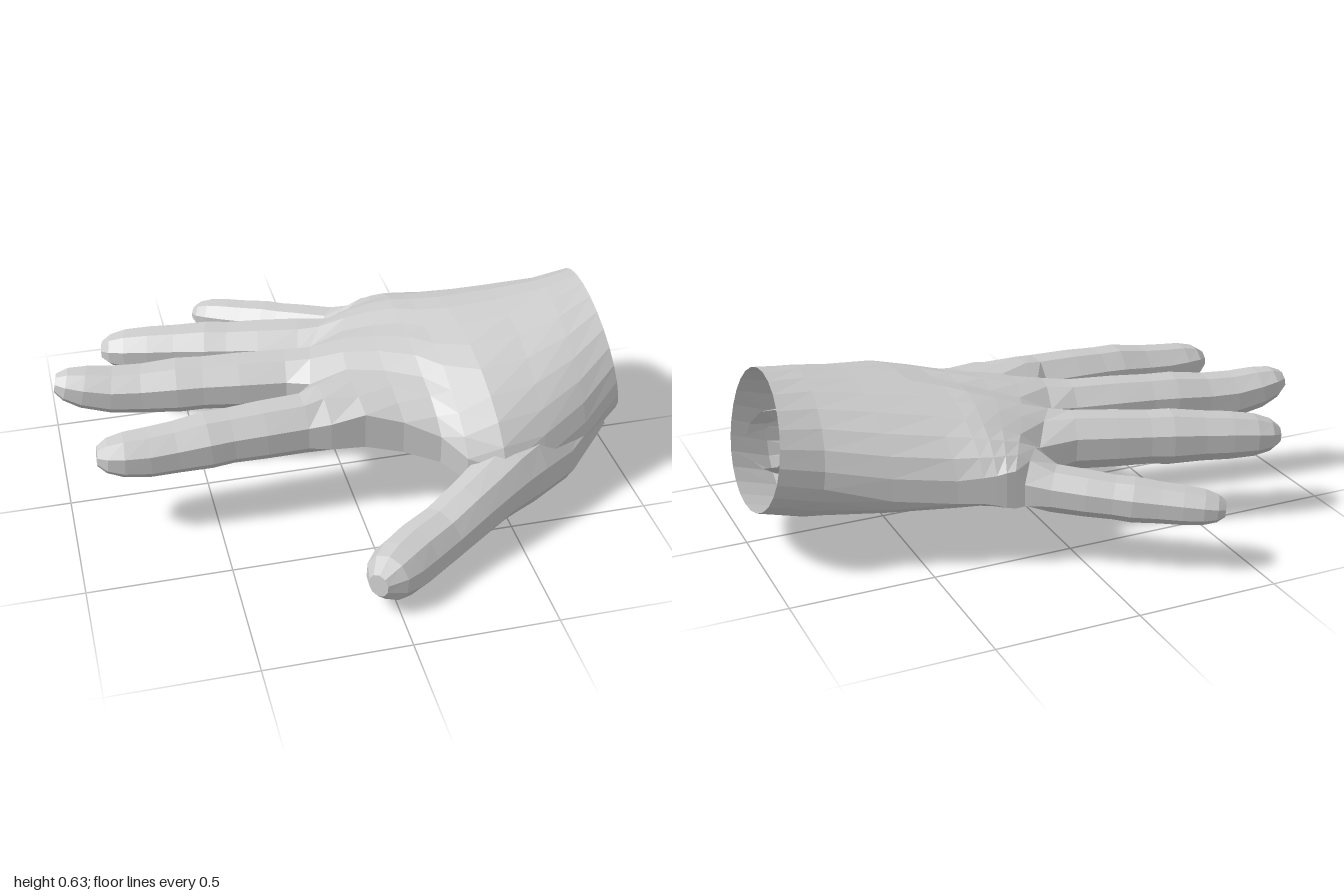
import * as THREE from 'three';

const SKIN = new THREE.MeshStandardMaterial({ color: 0xcccccc, flatShading: true, side: THREE.DoubleSide });
const lerp = THREE.MathUtils.lerp;

// Joins rings of points into a faceted skin; the far end can be closed with a fan
function loft(name, rings, closed) {
  const n = rings[0].length, pos = [], idx = [];
  rings.forEach(r => r.forEach(p => pos.push(p.x, p.y, p.z)));
  for (let i = 0; i < rings.length - 1; i++) {
    for (let a = 0; a < n; a++) {
      const b = (a + 1) % n, p = i * n, q = p + n;
      idx.push(p + a, p + b, q + a, p + b, q + b, q + a);
    }
  }
  if (closed) {
    const last = rings[rings.length - 1], base = (rings.length - 1) * n;
    const mid = last.reduce((s, p) => s.add(p), new THREE.Vector3()).divideScalar(n);
    pos.push(mid.x, mid.y, mid.z);
    for (let a = 0; a < n; a++) idx.push(base + a, base + (a + 1) % n, base + n);
  }
  let geo = new THREE.BufferGeometry();
  geo.setAttribute('position', new THREE.Float32BufferAttribute(pos, 3));
  geo.setIndex(idx);
  geo = geo.toNonIndexed();
  geo.computeVertexNormals();
  const mesh = new THREE.Mesh(geo, SKIN);
  mesh.name = name;
  return mesh;
}

// Webs beside and between the four fingers: x, y, z, half height of the knuckles there
const WEBS = [[-0.10, 0.335, 0.28, 0.105], [-0.12, 0.34, 0.03, 0.11], [-0.065, 0.34, -0.21, 0.107],
  [0.08, 0.31, -0.42, 0.097], [0.20, 0.265, -0.56, 0.078]];
// Thirteen points along the knuckle line; every third one is a web
const KNUCKLES = Array.from({ length: 13 }, (_, i) => {
  const k = Math.min(Math.floor(i / 3), 3), f = i / 3 - k;
  const [x, y, z, h] = WEBS[k].map((v, j) => lerp(v, WEBS[k + 1][j], f));
  return { x, y, z, h: i % 3 ? h : h * 0.5, bulge: i % 3 ? 1 : 0.9 };
});
const topRow = KNUCKLES.map(p => new THREE.Vector3(p.x, p.y + p.h, p.z));
const bottomRow = KNUCKLES.map(p => new THREE.Vector3(p.x, p.y - p.h, p.z));

// Palm cross-section between its thumb edge A and little-finger edge B;
// "flat" blends it from an oval into the row of knuckles
function palmRing([xA, yA, zA, xB, yB, zB, top, bottom, bow, tilt, flat]) {
  const mid = (yA + yB) / 2;
  const row = sign => KNUCKLES.map((p, i) => {
    const a = (i + 0.5) / 13 * Math.PI;
    const t = lerp((1 - Math.cos(a)) / 2, (WEBS[0][2] - p.z) / (WEBS[0][2] - WEBS[4][2]), flat);
    // the underside is flatter than the back of the hand
    const round = Math.sin(a) ** (sign < 0 && tilt === 0 ? 0.6 : 1);
    const s = lerp(round, p.bulge * (0.55 + 0.45 * Math.sin(a)), flat);
    return new THREE.Vector3(
      lerp(xA, xB, t) - bow * Math.sin(Math.PI * t) + tilt * s * sign,
      lerp(yA, yB, t) + s * (sign > 0 ? top - mid : bottom - mid),
      lerp(zA, zB, t));
  });
  return [...row(1), ...row(-1).reverse()];
}

// Taper along a digit: position, width factor, height factor
const FINGER = [[0.1, 0.98, 1], [0.28, 0.97, 0.97], [0.42, 0.92, 0.92], [0.52, 0.94, 0.95], [0.66, 0.86, 0.86],
  [0.78, 0.84, 0.82], [0.89, 0.77, 0.73], [0.96, 0.62, 0.56], [1, 0.34, 0.32]];
const THUMB = [[0, 1.0, 0.95], [0.18, 1.15, 1.33], [0.31, 1.2, 1.36], [0.39, 1.13, 1.27], [0.47, 1.02, 1.12],
  [0.57, 0.96, 1.04], [0.69, 0.93, 0.97], [0.8, 0.97, 0.98], [0.89, 0.94, 0.9], [0.95, 0.78, 0.74], [1, 0.36, 0.36]];

function digitRings(points, width, height, taper, sides) {
  const curve = new THREE.CatmullRomCurve3(points.map(p => new THREE.Vector3(...p)));
  return taper.map(([t, w, h]) => {
    const c = curve.getPointAt(t), d = curve.getTangentAt(t);
    const side = new THREE.Vector3(0, 1, 0).cross(d).normalize();
    const up = d.clone().cross(side);
    return Array.from({ length: sides }, (_, i) => {
      const a = (i + 0.5) / sides * Math.PI * 2;
      return c.clone().addScaledVector(side, Math.cos(a) * width * w)
        .addScaledVector(up, Math.sin(a) * height * h);
    });
  });
}

export function createModel() {
  const hand = new THREE.Group();
  hand.name = 'hand';

  // Palm from the open wrist to the knuckles
  const palm = [
    [0.95, 0.37, 0.28, 0.97, 0.39, -0.355, 0.63, 0.165, 0, -0.045, 0],
    [0.80, 0.28, 0.38, 0.82, 0.35, -0.365, 0.605, 0.10, 0, -0.03, 0],
    [0.62, 0.22, 0.47, 0.61, 0.31, -0.43, 0.575, 0.11, 0, 0, 0],
    [0.46, 0.215, 0.52, 0.41, 0.28, -0.495, 0.55, 0.14, 0, 0, 0.1],
    [0.34, 0.23, 0.46, 0.33, 0.275, -0.525, 0.53, 0.165, 0.01, 0, 0.25],
    [0.27, 0.26, 0.37, 0.29, 0.27, -0.54, 0.52, 0.18, 0.03, 0, 0.4],
    [0.15, 0.29, 0.315, 0.26, 0.265, -0.55, 0.50, 0.195, 0.06, 0, 0.65],
    [0.02, 0.32, 0.285, 0.23, 0.265, -0.555, 0.475, 0.21, 0.09, 0, 0.9],
  ].map(palmRing);
  hand.add(loft('palm', [...palm, [...topRow, ...bottomRow.slice().reverse()]], false));

  // Four fingers, each growing out of its own share of the knuckle row
  [
    ['indexFinger', [[-0.10, 0.335, 0.17], [-0.45, 0.33, 0.18], [-0.73, 0.31, 0.182], [-0.90, 0.32, 0.178]], 0.107, 0.108],
    ['middleFinger', [[-0.09, 0.342, -0.10], [-0.47, 0.338, -0.155], [-0.8, 0.328, -0.205], [-1.0, 0.367, -0.235]], 0.106, 0.105],
    ['ringFinger', [[0.0, 0.33, -0.315], [-0.40, 0.315, -0.42], [-0.80, 0.295, -0.53]], 0.105, 0.102],
    ['littleFinger', [[0.135, 0.265, -0.50], [-0.12, 0.24, -0.67], [-0.40, 0.22, -0.84]], 0.091, 0.079],
  ].forEach(([name, path, width, height], k) => {
    const j = 3 * k;
    const knuckle = [...topRow.slice(j, j + 4), ...bottomRow.slice(j, j + 4).reverse()];
    hand.add(loft(name, [knuckle, ...digitRings(path, width, height, FINGER, 8)], true));
  });

  // Thumb, with the fleshy mound that carries it out of the palm
  const thumbPath = [[0.84, 0.27, 0.22], [0.68, 0.19, 0.325], [0.53, 0.185, 0.41], [0.37, 0.165, 0.525],
    [0.2, 0.122, 0.627], [0.05, 0.108, 0.72], [-0.075, 0.125, 0.835]];
  hand.add(loft('thumb', digitRings(thumbPath, 0.106, 0.113, THUMB, 10), true));

  return hand;
}
